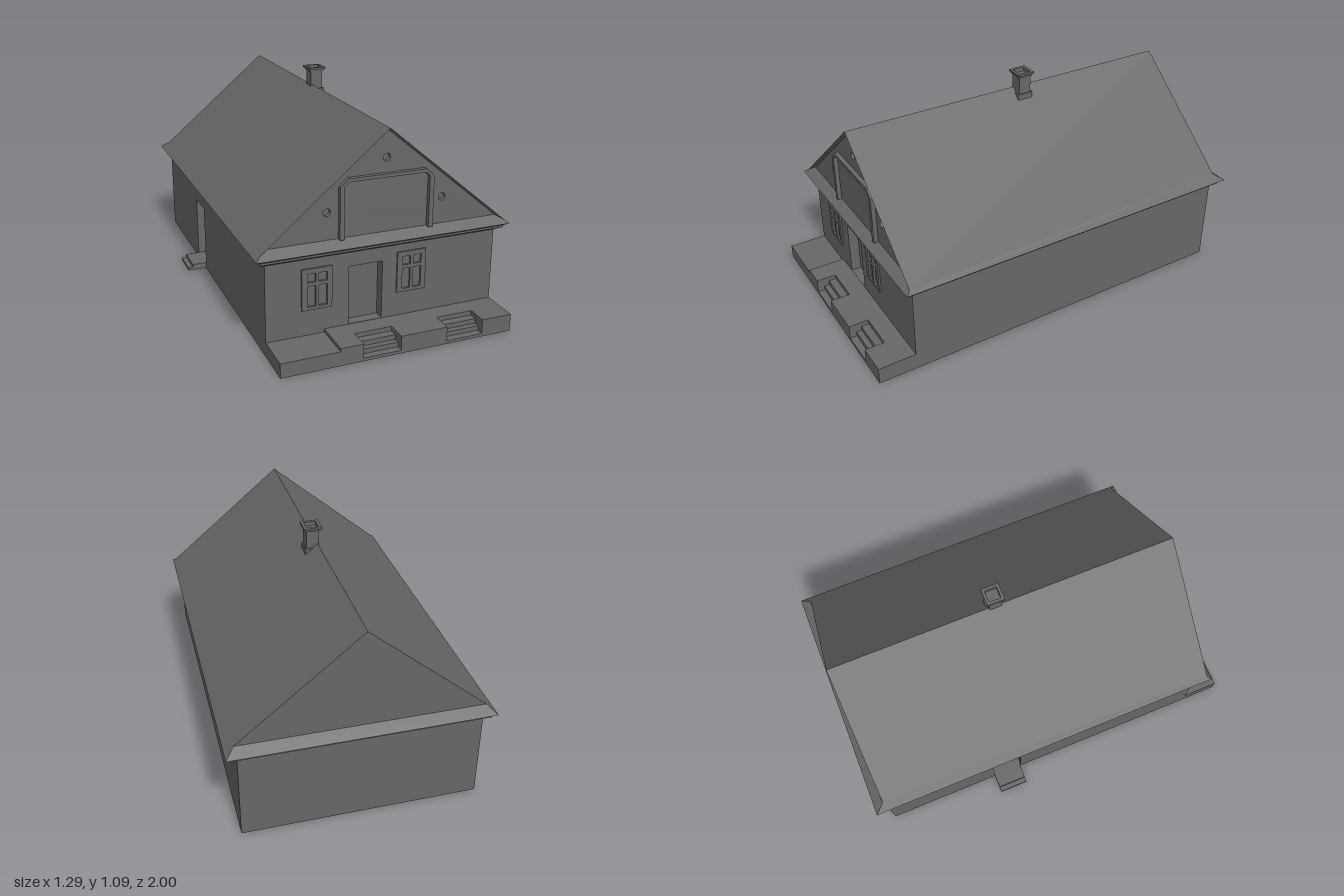
import * as THREE from 'three';

const mat = new THREE.MeshStandardMaterial({ color: 0x676767, side: THREE.DoubleSide, flatShading: true });
const V2 = ([x, y]) => new THREE.Vector2(x, y);

export function createModel() {
  const model = new THREE.Group();
  model.name = 'house';

  function add(geo, name, parent = model) {
    const m = new THREE.Mesh(geo, mat);
    m.name = name;
    parent.add(m);
    return m;
  }
  function group(name, parent = model) {
    const g = new THREE.Group();
    g.name = name;
    parent.add(g);
    return g;
  }
  function box(name, x0, x1, y0, y1, z0, z1, parent = model) {
    const m = add(new THREE.BoxGeometry(x1 - x0, y1 - y0, z1 - z0), name, parent);
    m.position.set((x0 + x1) / 2, (y0 + y1) / 2, (z0 + z1) / 2);
  }
  // Surface between two polylines with the same number of points
  function strip(name, a, b, parent = model) {
    const pos = [];
    for (let i = 0; i + 1 < a.length; i++) {
      pos.push(...a[i], ...a[i + 1], ...b[i + 1], ...a[i], ...b[i + 1], ...b[i]);
    }
    const g = new THREE.BufferGeometry();
    g.setAttribute('position', new THREE.Float32BufferAttribute(pos, 3));
    g.computeVertexNormals();
    add(g, name, parent);
  }
  const rect = (x0, x1, y0, y1) => [[x0, y0], [x1, y0], [x1, y1], [x0, y1]];
  const circle = (x, y, r, n = 20) => Array.from({ length: n }, (_, i) => {
    const t = i / n * Math.PI * 2;
    return [x + r * Math.cos(t), y + r * Math.sin(t)];
  });
  function shape(outline, holes = []) {
    const s = new THREE.Shape(outline.map(V2));
    s.holes = holes.map(h => new THREE.Path(h.map(V2)));
    return s;
  }
  const sheet = (name, outline, holes, parent) => add(new THREE.ShapeGeometry(shape(outline, holes)), name, parent);
  const slab = (name, outline, holes, depth, parent) => add(new THREE.ExtrudeGeometry(shape(outline, holes),
    { depth, bevelEnabled: false }), name, parent);
  // Recess behind a hole in a sheet: reveal and back panel
  function niche(name, outline, depth, parent) {
    const g = group(name, parent);
    const ring = [...outline, outline[0]];
    strip(name + 'Reveal', ring.map(([x, y]) => [x, y, 0]), ring.map(([x, y]) => [x, y, -depth]), g);
    sheet(name + 'Back', outline, [], g).position.z = -depth;
  }

  // Main dimensions
  const L = -0.55, R = 0.59, F = 0.81, B = -0.95, wallTop = 0.44;
  const ridgeX = 0.02, ridgeY = 1.0, eaveY = 0.48, kickY = 0.515;
  const eL = -0.60, eR = 0.645, eF = 0.86, eB = -1.0;
  const kL = -0.558, kR = 0.603;
  const vL = -0.582, vR = 0.627, vergeY = 0.495, vergeZ = 0.838;

  // Walls
  strip('sideWall', [[R, 0, F], [R, 0, B]], [[R, wallTop, F], [R, wallTop, B]]);
  strip('backWall', [[R, 0, B], [L, 0, B]], [[R, wallTop, B], [L, wallTop, B]]);

  const doorSide = group('doorSide');
  doorSide.position.x = L;
  doorSide.rotation.y = -Math.PI / 2;
  const sideDoor = rect(-0.36, -0.205, 0.03, 0.345);
  sheet('doorSideWall', rect(B, F, 0, wallTop), [sideDoor], doorSide);
  niche('sideDoor', sideDoor, 0.055, doorSide);

  const front = group('front');
  front.position.z = F;
  const frontDoor = rect(-0.153, 0.012, 0.087, 0.372);
  const windows = [[-0.382, 0.195], [0.084, 0.204]];
  sheet('frontWall', [[L, 0.07], [-0.272, 0.07], [-0.272, 0.085], [R, 0.085], [R, wallTop], [L, wallTop]],
    [frontDoor, ...windows.map(([x, y]) => rect(x, x + 0.145, y, y + 0.2))], front);
  niche('frontDoor', frontDoor, 0.05, front);

  // Front windows: four-pane frames set in openings, with glass
  for (const [x, y] of windows) {
    const w = group('window', front);
    w.position.set(x, y, 0);
    const panes = [];
    for (const px of [0.026, 0.081]) {
      panes.push(rect(px, px + 0.04, 0.016, 0.117), rect(px, px + 0.04, 0.134, 0.176));
    }
    slab('windowFrame', rect(0, 0.145, 0, 0.2), panes, 0.018, w).position.z = -0.01;
    sheet('windowGlass', rect(0.02, 0.125, 0.012, 0.18), [], w).position.z = -0.002;
  }

  // Cornice: rectangular rings growing out to the eaves
  const rings = [[0, wallTop], [0.58, 0.457], [0.58, 0.467], [1, eaveY]].map(([t, y]) => {
    const k = (a, b) => a + (b - a) * t;
    const [l, r, f, b] = [k(L, eL), k(R, eR), k(F, eF), k(B, eB)];
    return [[l, y, f], [r, y, f], [r, y, b], [l, y, b], [l, y, f]];
  });
  const cornice = group('cornice');
  for (let i = 0; i + 1 < rings.length; i++) strip('corniceMoulding', rings[i], rings[i + 1], cornice);

  // Roof slopes, with sloping skirts under both gables
  const roof = group('roof');
  for (const [e, v, k] of [[eL, vL, kL], [eR, vR, kR]]) {
    strip('roofSlope',
      [[e, eaveY, eF], [v, vergeY, vergeZ], [ridgeX, ridgeY, vergeZ]],
      [[e, eaveY, eB], [k, kickY, B], [ridgeX, ridgeY, B]], roof);
  }
  strip('frontSkirt', [[eL, eaveY, eF], [vL, vergeY, vergeZ], [L, kickY, F]],
    [[eR, eaveY, eF], [vR, vergeY, vergeZ], [R, kickY, F]], roof);
  strip('backSkirt', [[eL, eaveY, eB], [kL, kickY, B]], [[eR, eaveY, eB], [kR, kickY, B]], roof);
  strip('vergeSoffit',
    [[vL, vergeY, vergeZ], [ridgeX, ridgeY, vergeZ], [vR, vergeY, vergeZ]],
    [[L, kickY, F], [ridgeX, 0.99, F], [R, kickY, F]], roof);
  sheet('backGable', [[kL, kickY], [kR, kickY], [ridgeX, ridgeY]], [], roof).position.z = B;

  // Front gable with a raised frame and round openings
  const gable = group('frontGable');
  gable.position.z = F;
  const vents = [[ridgeX, 0.862], [-0.262, 0.643], [0.302, 0.643]].map(([x, y]) => circle(x, y, 0.018));
  sheet('gableWall', [[L, kickY], [R, kickY], [ridgeX, 0.99]], vents, gable);
  vents.forEach(v => niche('roundVent', v, 0.02, gable));
  slab('gableFrame', [
    [-0.208, 0.513], [-0.188, 0.513], [-0.188, 0.757], [-0.166, 0.777], [0.206, 0.777], [0.226, 0.757],
    [0.226, 0.513], [0.248, 0.513], [0.248, 0.757], [0.21, 0.793], [-0.17, 0.793], [-0.208, 0.757],
  ], [], 0.021, gable).position.z = 0.001;

  // Chimney with an open cap
  const chimney = group('chimney');
  chimney.position.set(0.043, 0, -0.105);
  box('chimneyBase', -0.038, 0.038, 0.95, 0.98, -0.04, 0.04, chimney);
  box('chimneyShaft', -0.032, 0.032, 0.96, 1.07, -0.032, 0.032, chimney);
  for (const [r, y] of [[0.038, 1.07], [0.045, 1.08]]) {
    const cap = slab('chimneyCap', rect(-r, r, -r, r), [rect(-0.03, 0.03, -0.03, 0.03)], 0.01, chimney);
    cap.rotation.x = -Math.PI / 2;
    cap.position.y = y;
  }

  // Porch: hollow terrace on two levels with two flights cut into its edge
  const porch = group('porch');
  const P = 1.0, top = 0.085, low = 0.07, split = -0.272, cut = 0.9;
  const flights = [[-0.163, 0.022], [0.253, 0.438]];
  const flat = (name, outline, y) => {
    const m = sheet(name, outline.map(([x, z]) => [x, -z]), [], porch);
    m.rotation.x = -Math.PI / 2;
    m.position.y = y;
  };
  flat('lowTerrace', rect(L, split, F, P), low);
  const edge = [[split, P]];
  for (const [a, b] of flights) edge.push([a, P], [a, cut], [b, cut], [b, P]);
  edge.push([R, P]);
  flat('terrace', [[split, F], ...edge, [R, F]], top);
  strip('terraceStep', [[split, low, F], [split, low, P]], [[split, top, F], [split, top, P]], porch);
  const wall = (name, pts, y) => strip(name, pts.map(([x, z]) => [x, 0, z]), pts.map(([x, z]) => [x, y, z]), porch);
  wall('lowTerraceWall', [[L, F], [L, P], [split, P]], low);
  wall('terraceEnd', [[R, P], [R, F]], top);
  [[split, flights[0][0]], [flights[0][1], flights[1][0]], [flights[1][1], R]]
    .forEach(([a, b]) => wall('terraceWall', [[a, P], [b, P]], top));
  const treads = [[cut, top], [cut, 0.062], [0.938, 0.062], [0.938, 0.038], [0.965, 0.038], [0.965, 0.015], [P, 0.015], [P, 0]];
  for (const [a, b] of flights) {
    strip('porchSteps', treads.map(([z, y]) => [a, y, z]), treads.map(([z, y]) => [b, y, z]), porch);
    for (const x of [a, b]) {
      strip('stepCheek', treads.map(([z, y]) => [x, y, z]), treads.map(([z]) => [x, top, z]), porch);
    }
  }

  // Side door steps
  box('sideStepLower', -0.648, L, 0, 0.015, -0.36, -0.21);
  box('sideStepUpper', -0.623, L, 0.015, 0.03, -0.36, -0.21);

  return model;
}
